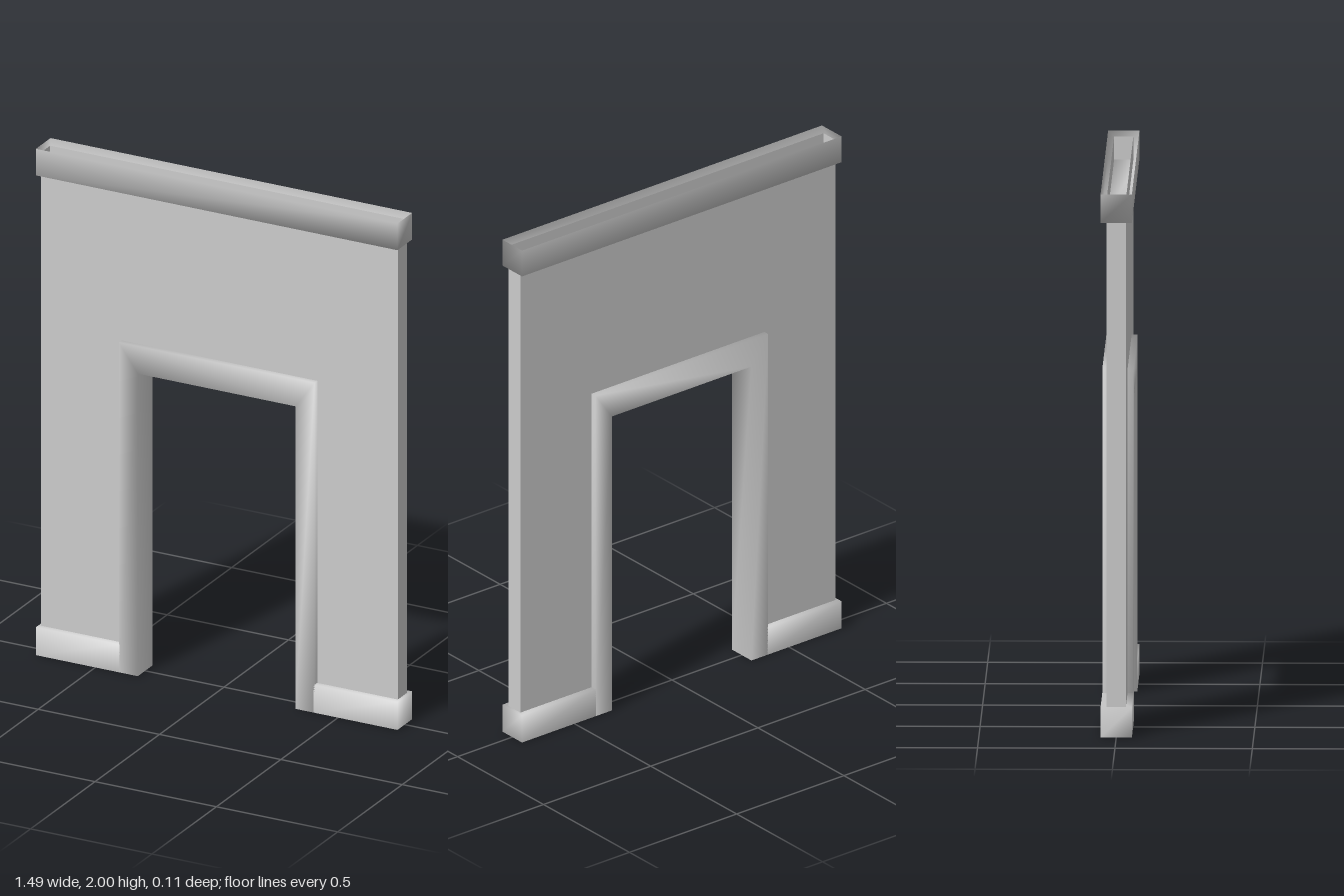
import * as THREE from 'three';

const material = new THREE.MeshStandardMaterial({ color: 0xcccccc, side: THREE.DoubleSide });

function addMesh(parent, name, geometry) {
  const mesh = new THREE.Mesh(geometry, material);
  mesh.name = name;
  parent.add(mesh);
  return mesh;
}

// Smooth skin through matching four-sided loops; optionally closes the last loop.
function skin(loops, capEnd) {
  const index = [];
  for (let i = 0; i < loops.length - 1; i++) {
    for (let j = 0; j < 4; j++) {
      const a = i * 4 + j, b = i * 4 + (j + 1) % 4;
      index.push(a, b, b + 4, a, b + 4, a + 4);
    }
  }
  const e = (loops.length - 1) * 4;
  if (capEnd) index.push(e, e + 1, e + 2, e, e + 2, e + 3);
  const geometry = new THREE.BufferGeometry();
  geometry.setAttribute('position', new THREE.Float32BufferAttribute(loops.flat(2), 3));
  geometry.setIndex(index);
  geometry.computeVertexNormals();
  return geometry;
}

// Hollow moulding with one long side open, closed at height yClosed.
function moulding(x0, x1, yOpen, yClosed, d) {
  const loop = y => {
    const c = [[x0, y, d], [x1, y, d], [x1, y, -d], [x0, y, -d]];
    return yClosed > yOpen ? c : c.reverse();
  };
  return skin([loop(yOpen), loop(yClosed)], true);
}

export function createModel() {
  const model = new THREE.Group();
  const depth = 0.057, wallDepth = 0.035, wallX = 0.735;
  const low = 0.02, high = 1.98;

  // Wall faces around the doorway, plus the two outer ends
  const wall = new THREE.Group();
  wall.name = 'wall';
  model.add(wall);
  const outline = new THREE.Shape([
    [-wallX, low], [-0.38, low], [-0.38, 1.26], [0.38, 1.26],
    [0.38, low], [wallX, low], [wallX, high], [-wallX, high],
  ].map(([x, y]) => new THREE.Vector2(x, y)));
  for (const side of [1, -1]) {
    const face = addMesh(wall, side > 0 ? 'wallFront' : 'wallBack', new THREE.ShapeGeometry(outline));
    face.position.z = side * wallDepth;
    if (side < 0) face.rotation.y = Math.PI;
    const end = addMesh(wall, side > 0 ? 'wallLeftEnd' : 'wallRightEnd',
      new THREE.PlaneGeometry(wallDepth * 2, high - low));
    end.position.set(side * wallX, (low + high) / 2, 0);
    end.rotation.y = side * Math.PI / 2;
  }

  // Top rail, open upward
  addMesh(model, 'topRail', moulding(-0.745, 0.745, 2, 1.895, depth));

  // Baseboards, open downward
  addMesh(model, 'leftBaseboard', moulding(0.4, 0.745, 0, 0.11, depth));
  addMesh(model, 'rightBaseboard', moulding(-0.745, -0.4, 0, 0.11, depth));

  // Door trim: a rectangular section mitred around the opening
  const section = (xOut, xIn, yOut, yIn) => [
    [xOut, yOut, depth], [xIn, yIn, depth], [xIn, yIn, -depth], [xOut, yOut, -depth],
  ];
  addMesh(model, 'doorTrim', skin([
    section(-0.403, -0.325, 0, 0), section(-0.403, -0.325, 1.303, 1.195),
    section(0.403, 0.325, 1.303, 1.195), section(0.403, 0.325, 0, 0),
  ], false));

  return model;
}
